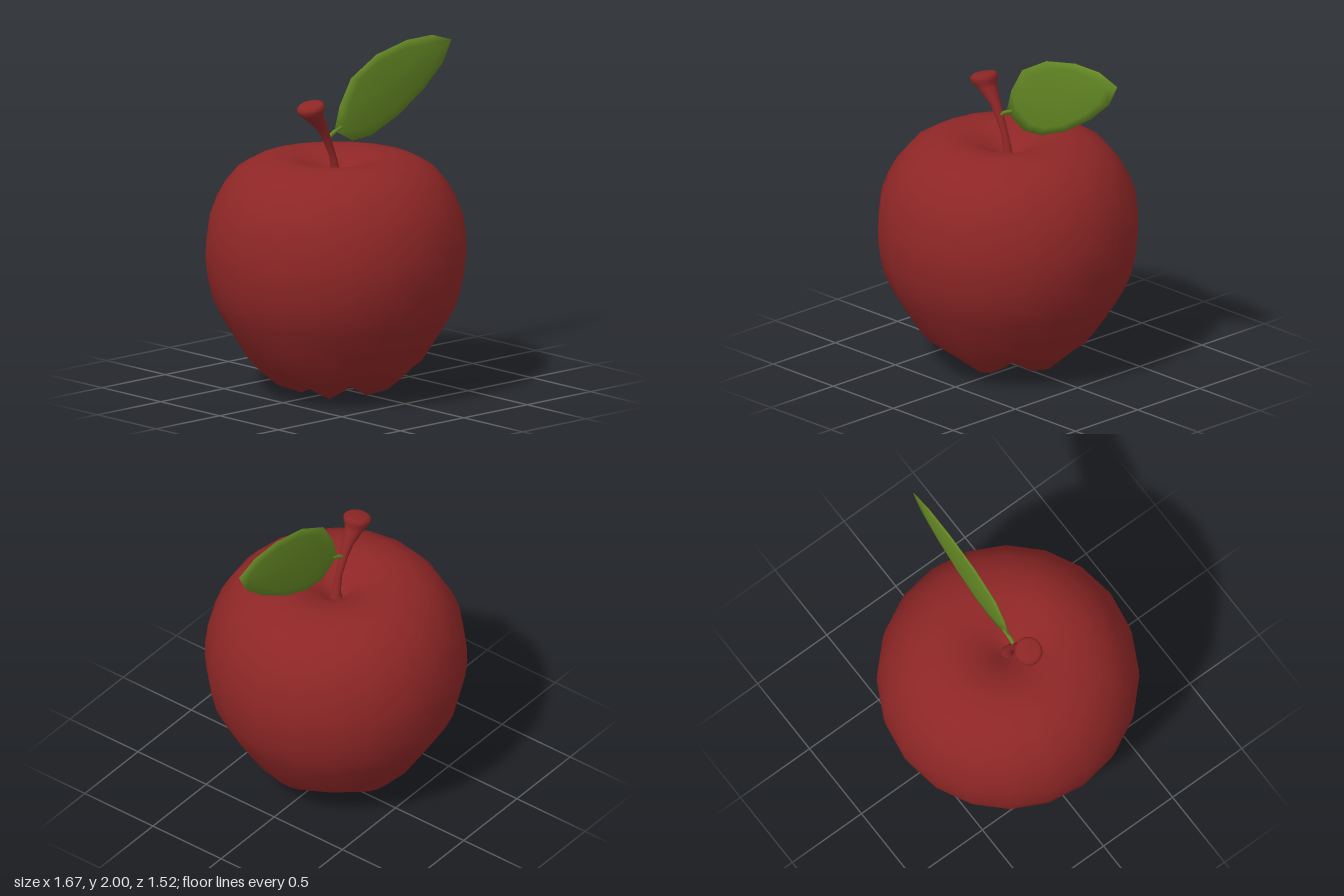
import * as THREE from 'three';
import { mergeVertices } from 'three/addons/utils/BufferGeometryUtils.js';

// Lathe with welded seam and smooth normals; bend(v, row) moves each vertex
function bentLathe(points, sides, bend) {
  let geo = new THREE.LatheGeometry(points.map(([r, y]) => new THREE.Vector2(r, y)), sides);
  const pos = geo.attributes.position;
  const v = new THREE.Vector3();
  for (let i = 0; i < pos.count; i++) {
    v.fromBufferAttribute(pos, i);
    bend(v, i % points.length);
    pos.setXYZ(i, v.x, v.y, v.z);
  }
  geo.deleteAttribute('uv');
  geo.deleteAttribute('normal');
  geo = mergeVertices(geo, 1e-4);
  geo.computeVertexNormals();
  return geo;
}

// Fruit: radius, height, and how far the grooves between the five lobes rise
function fruitGeometry() {
  const rows = [
    [0, 0.13, 0], [0.06, 0.1, 0.01], [0.12, 0.04, 0.04], [0.2, 0, 0.07], [0.34, 0.05, 0.08],
    [0.43, 0.125, 0.05], [0.505, 0.2, 0.015], [0.59, 0.34, 0], [0.67, 0.47, 0], [0.72, 0.58, 0],
    [0.748, 0.7, 0], [0.76, 0.81, 0], [0.758, 0.9, 0], [0.742, 1.03, 0], [0.7, 1.14, 0],
    [0.65, 1.23, 0], [0.575, 1.32, 0], [0.465, 1.38, 0], [0.35, 1.4, 0], [0.24, 1.385, 0],
    [0.15, 1.345, 0], [0.08, 1.3, 0], [0.035, 1.26, 0], [0, 1.25, 0],
  ];
  return bentLathe(rows, 20, (v, row) => {
    const groove = (1 - Math.cos(5 * Math.atan2(v.z, v.x))) / 2;
    v.y += rows[row][2] * groove;
  });
}

// Stem: radius, height, sideways offset, tilt of the ring
function stemGeometry() {
  const rows = [
    [0.045, 1.25, -0.078, 0], [0.028, 1.29, -0.08, 0], [0.021, 1.4, -0.104, 0],
    [0.025, 1.5, -0.147, 0.05], [0.034, 1.58, -0.19, 0.12], [0.058, 1.66, -0.255, 0.2],
    [0.068, 1.68, -0.27, 0.22], [0.08, 1.7, -0.278, 0.22], [0.08, 1.722, -0.28, 0.22],
    [0.066, 1.735, -0.28, 0.22], [0, 1.73, -0.28, 0.22],
  ];
  return bentLathe(rows, 16, (v, row) => {
    v.y += v.x * rows[row][3];
    v.x += rows[row][2];
  });
}

// Leaf: thin blade whose rim normals lean outward for a soft rounded edge
function leafGeometry() {
  const outline = [
    [-0.09, 1.55], [0.05, 1.47], [0.2, 1.48], [0.4, 1.56], [0.61, 1.69], [0.76, 1.82], [0.83, 1.95],
    [0.68, 2], [0.48, 2], [0.24, 1.95], [0.04, 1.84], [-0.05, 1.69],
  ];
  const n = outline.length;
  const [cx, cy] = [0.36, 1.755];
  const pos = [], nor = [], index = [];
  for (const side of [1, -1]) {
    const base = pos.length / 3;
    outline.forEach(([x, y], i) => {
      const [ax, ay] = outline[(i + n - 1) % n], [bx, by] = outline[(i + 1) % n];
      const out = new THREE.Vector3(by - ay, ax - bx, 0).normalize();
      const inner = out.clone().multiplyScalar(0.12);
      inner.z = side;
      inner.normalize();
      out.z = side * 0.8;
      out.normalize();
      pos.push(x, y, side * 0.002, cx + (x - cx) * 0.8, cy + (y - cy) * 0.8, side * 0.006);
      nor.push(out.x, out.y, out.z, inner.x, inner.y, inner.z);
    });
    pos.push(cx, cy, side * 0.006);
    nor.push(0, 0, side);
    const tri = (a, b, c) => index.push(base + a, base + (side > 0 ? b : c), base + (side > 0 ? c : b));
    for (let i = 0; i < n; i++) {
      const a = 2 * i, b = 2 * ((i + 1) % n);
      tri(a, b, b + 1);
      tri(a, b + 1, a + 1);
      tri(a + 1, b + 1, 2 * n);
    }
  }
  // Close the rim between the two faces
  for (let i = 0; i < n; i++) {
    const a = 2 * i, b = 2 * ((i + 1) % n), back = 2 * n + 1;
    index.push(a, back + a, back + b, a, back + b, b);
  }
  const geo = new THREE.BufferGeometry();
  geo.setAttribute('position', new THREE.Float32BufferAttribute(pos, 3));
  geo.setAttribute('normal', new THREE.Float32BufferAttribute(nor, 3));
  geo.setIndex(index);
  return geo;
}

export function createModel() {
  const red = new THREE.MeshStandardMaterial({ color: 0x8e2626 });
  red.name = 'apple red';
  const green = new THREE.MeshStandardMaterial({ color: 0x628523 });
  green.name = 'leaf green';

  const model = new THREE.Group();
  model.name = 'apple';
  const add = (name, geometry, material) => {
    const mesh = new THREE.Mesh(geometry, material);
    mesh.name = name;
    model.add(mesh);
    return mesh;
  };

  add('fruit', fruitGeometry(), red).position.x = -0.08;
  add('stem', stemGeometry(), red);
  add('leafBlade', leafGeometry(), green);

  // Short stalk joining the leaf to the stem
  const stalkPath = new THREE.CatmullRomCurve3([
    new THREE.Vector3(-0.15, 1.505, 0), new THREE.Vector3(-0.11, 1.535, 0), new THREE.Vector3(-0.04, 1.565, 0),
  ]);
  add('leafStalk', new THREE.TubeGeometry(stalkPath, 6, 0.012, 8), green);
  return model;
}
